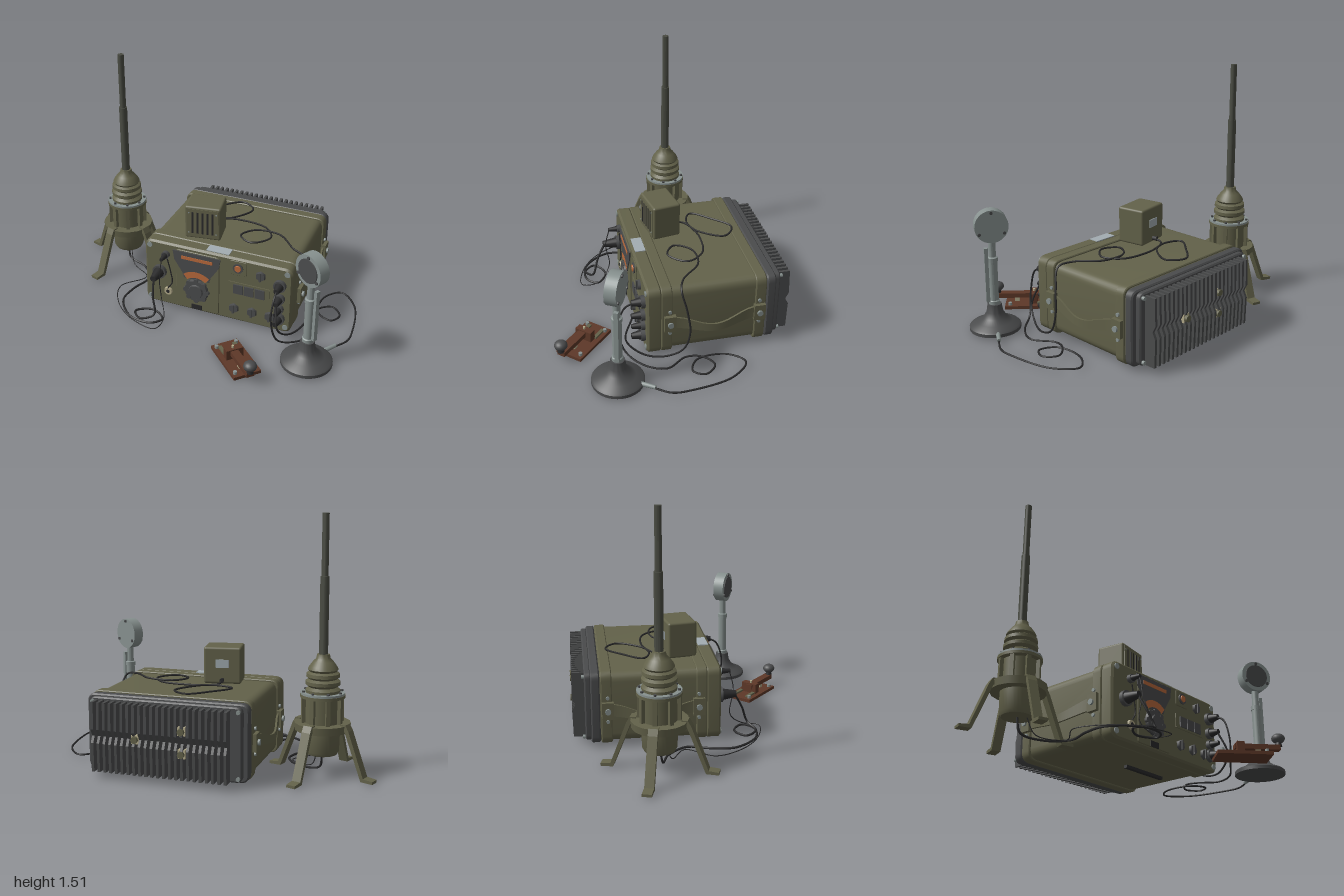
import * as THREE from 'three';
import { toCreasedNormals } from 'three/addons/utils/BufferGeometryUtils.js';
import { RoundedBoxGeometry } from 'three/addons/geometries/RoundedBoxGeometry.js';

const paint = (name, color, side = THREE.FrontSide) => {
  const m = new THREE.MeshStandardMaterial({ color, side });
  m.name = name;
  return m;
};

export function createModel() {
  const olive = paint('olive paint', 0x63624a), mastGreen = paint('mast green', 0x4a4c43);
  const charcoal = paint('charcoal metal', 0x4a4b4c), black = paint('black rubber', 0x2a2a2b);
  const steel = paint('grey steel', 0x87918f), pale = paint('pale label', 0xa3adb2);
  const orange = paint('orange glow', 0xb8693c), brown = paint('brown wood', 0x5e3828);
  const tan = paint('tan fitting', 0xb0a888);

  const model = new THREE.Group();
  const group = (name, x = 0, y = 0, z = 0, ry = 0) => {
    const g = new THREE.Group();
    g.name = name;
    g.position.set(x, y, z);
    g.rotation.y = ry;
    model.add(g);
    return g;
  };
  const add = (g, name, geo, mat, x = 0, y = 0, z = 0) => {
    const m = new THREE.Mesh(geo, mat);
    m.name = name;
    m.position.set(x, y, z);
    g.add(m);
    return m;
  };
  const box = (g, name, mat, w, h, d, x, y, z) => add(g, name, new THREE.BoxGeometry(w, h, d), mat, x, y, z);
  // Cylinder along an axis; top radius faces the positive end
  const cyl = (g, name, mat, rTop, rBottom, h, x, y, z, axis = 'y', sides = 24) => {
    const geo = new THREE.CylinderGeometry(rTop, rBottom, h, sides);
    if (axis === 'z') geo.rotateX(Math.PI / 2);
    if (axis === 'x') geo.rotateZ(-Math.PI / 2);
    return add(g, name, geo, mat, x, y, z);
  };
  const lathe = (g, name, mat, pts, sides = 32) => add(g, name, toCreasedNormals(
    new THREE.LatheGeometry(pts.map(p => new THREE.Vector2(...p)), sides), 0.6), mat);
  const cable = (g, name, r, pts) => {
    const curve = new THREE.CatmullRomCurve3(pts.map(p => new THREE.Vector3(...p)));
    add(g, name, new THREE.TubeGeometry(curve, pts.length * 10, r, 6), black);
  };
  // Slab with rounded or chamfered corners, centred in x and y, running from z0 to z1
  const slab = (g, name, mat, w, h, c, z0, z1, x, y, bevel = 0.008) => {
    const s = new THREE.Shape(), a = w / 2 - bevel, b = h / 2 - bevel;
    s.moveTo(-a + c, -b);
    s.lineTo(a - c, -b); s.quadraticCurveTo(a, -b, a, -b + c);
    s.lineTo(a, b - c); s.quadraticCurveTo(a, b, a - c, b);
    s.lineTo(-a + c, b); s.quadraticCurveTo(-a, b, -a, b - c);
    s.lineTo(-a, -b + c); s.quadraticCurveTo(-a, -b, -a + c, -b);
    const geo = new THREE.ExtrudeGeometry(s, { depth: z1 - z0 - 2 * bevel, bevelEnabled: bevel > 0,
      bevelSize: bevel, bevelThickness: bevel, bevelSegments: 1, curveSegments: 5 });
    return add(g, name, toCreasedNormals(geo, 0.5), mat, x, y, z0 + bevel);
  };

  // Radio case
  const CX = 0.147, CY = 0.25, F = 0.17;
  const radio = group('radio');
  slab(radio, 'caseBody', olive, 0.96, 0.44, 0.05, -0.56, 0.09, CX, CY);
  slab(radio, 'frontBezel', olive, 0.98, 0.46, 0.04, 0.08, F, CX, CY, 0.012);
  for (const z of [0.02, -0.55]) slab(radio, 'caseBand', olive, 0.985, 0.462, 0.05, z, z + 0.065, CX, CY, 0.005);
  slab(radio, 'rearFlange', charcoal, 0.98, 0.45, 0.04, -0.61, -0.555, CX, CY);
  slab(radio, 'heatSinkPlate', charcoal, 0.92, 0.43, 0.03, -0.645, -0.605, CX, CY);
  box(radio, 'bottomSlot', black, 0.34, 0.02, 0.025, 0.31, 0.022, -0.15);
  box(radio, 'topLabel', pale, 0.15, 0.006, 0.065, 0.145, 0.482, 0.122);

  // Heat sink fins with a notched outer edge
  const fin = new THREE.Shape();
  [[0.64, 0.04], [0.715, 0.04], [0.72, 0.21], [0.7, 0.25], [0.72, 0.29], [0.715, 0.45], [0.64, 0.45]]
    .forEach(([z, y], i) => (i ? fin.lineTo(z, y) : fin.moveTo(z, y)));
  const finGeo = new THREE.ExtrudeGeometry(fin, { depth: 0.016, bevelEnabled: false }).rotateY(Math.PI / 2);
  for (let i = 0; i < 23; i++) add(radio, 'heatSinkFin', finGeo, charcoal, -0.245 + i * 0.0363, 0, 0);
  for (const [x, y] of [[0.3, 0.25], [0.02, 0.32], [0.02, 0.19]]) {
    box(radio, 'rearSocket', tan, 0.045, 0.05, 0.07, x, y, -0.675);
    cyl(radio, 'rearSocketCap', olive, 0.02, 0.02, 0.02, x, y, -0.717, 'z', 12);
  }
  for (const sx of [-1, 1]) for (const sy of [-1, 1])
    cyl(radio, 'rearBolt', steel, 0.012, 0.012, 0.02, CX + sx * 0.44, CY + sy * 0.19, -0.65, 'z', 8);

  // Side carrying straps and brackets
  for (const s of [-1, 1]) {
    const strap = new THREE.BoxGeometry(0.012, 0.075, 0.52, 1, 1, 20), p = strap.attributes.position;
    for (let i = 0; i < p.count; i++) {
      const c = Math.cos(p.getZ(i) / 0.26 * Math.PI / 2) ** 2;
      p.setY(i, p.getY(i) * (1 - 0.35 * c) - 0.045 * c);
      p.setX(i, p.getX(i) + s * 0.035 * c);
    }
    strap.computeVertexNormals();
    add(radio, 'carryStrap', toCreasedNormals(strap, 0.6), olive, CX + s * 0.495, 0.242, -0.235);
    for (const z of [0.035, -0.51]) {
      box(radio, 'strapBracket', olive, 0.03, 0.105, 0.07, CX + s * 0.5, 0.242, z);
      cyl(radio, 'strapBolt', steel, 0.018, 0.018, 0.02, CX + s * 0.517, 0.242, z, 'x', 10);
      for (const y of [0.17, 0.32]) cyl(radio, 'bandScrew', steel, 0.011, 0.011, 0.02, CX + s * 0.493, y, z, 'x', 8);
    }
    for (const y of [0.06, 0.445]) cyl(radio, 'frontScrew', steel, 0.018, 0.018, 0.012, CX + s * 0.455, y, F, 'z', 10);
  }

  // Front panel: tuning dial
  const panel = group('frontPanel');
  slab(panel, 'centerPanel', olive, 0.29, 0.42, 0.015, F - 0.01, F + 0.008, 0.02, 0.247, 0.003);
  const dial = new THREE.Shape();
  [[-0.145, 0.45], [-0.135, 0.385], [-0.08, 0.3], [-0.07, 0.265], [0.1, 0.265], [0.11, 0.3], [0.165, 0.385], [0.175, 0.45]]
    .reverse().forEach(([x, y], i) => (i ? dial.lineTo(x, y) : dial.moveTo(x, y)));
  add(panel, 'dialPlate', new THREE.ExtrudeGeometry(dial, { depth: 0.008, bevelEnabled: false }), charcoal, 0, 0, F + 0.006);
  box(panel, 'dialSlot', orange, 0.21, 0.022, 0.005, 0.018, 0.412, F + 0.015);
  add(panel, 'dialArc', new THREE.RingGeometry(0.095, 0.138, 24, 1, Math.PI * 0.28, Math.PI * 0.44), orange, 0.015, 0.185, F + 0.016);
  cyl(panel, 'tuningKnob', charcoal, 0.076, 0.083, 0.02, 0.015, 0.185, F + 0.015, 'z', 16);
  cyl(panel, 'tuningKnobCap', charcoal, 0.045, 0.05, 0.012, 0.015, 0.185, F + 0.028, 'z', 16);
  for (let i = 0; i < 8; i++) {
    const a = i * Math.PI / 4;
    cyl(panel, 'knobGrip', charcoal, 0.016, 0.018, 0.024, 0.015 + 0.072 * Math.cos(a), 0.185 + 0.072 * Math.sin(a), F + 0.014, 'z', 8);
  }
  box(panel, 'smallWindow', black, 0.07, 0.035, 0.008, 0.015, 0.056, F + 0.008);

  // Switches, lamp and sockets
  slab(panel, 'lampPlate', olive, 0.11, 0.1, 0.01, F - 0.005, F + 0.006, 0.29, 0.415, 0.002);
  cyl(panel, 'lampRing', charcoal, 0.033, 0.033, 0.016, 0.29, 0.417, F + 0.006, 'z');
  cyl(panel, 'lamp', orange, 0.02, 0.026, 0.02, 0.29, 0.417, F + 0.01, 'z');
  box(panel, 'switchPlate', olive, 0.27, 0.09, 0.008, 0.362, 0.265, F + 0.002);
  for (let i = 0; i < 3; i++) box(panel, 'pushSwitch', charcoal, 0.062, 0.065, 0.016, 0.293 + i * 0.07, 0.265, F + 0.006);
  for (const [x, y] of [[0.435, 0.395], [0.265, 0.115], [0.385, 0.115], [0.5, 0.115]]) {
    cyl(panel, 'selectorKnob', charcoal, 0.03, 0.034, 0.018, x, y, F + 0.008, 'z', 6);
    box(panel, 'selectorPointer', charcoal, 0.012, 0.06, 0.01, x, y, F + 0.02);
  }
  cyl(panel, 'openSocket', tan, 0.026, 0.03, 0.012, -0.185, 0.125, F + 0.005, 'z', 12);
  cyl(panel, 'openSocketHole', black, 0.012, 0.012, 0.014, -0.185, 0.125, F + 0.006, 'z', 12);
  cable(panel, 'capChain', 0.004, [[-0.185, 0.15, F + 0.01], [-0.155, 0.2, F + 0.008], [-0.165, 0.28, F + 0.008], [-0.185, 0.37, F + 0.01]]);
  const plug = (x, y, r, len) => {
    cyl(panel, 'plugCollar', charcoal, r * 1.15, r * 1.15, 0.025, x, y, F + 0.012, 'z', 16);
    cyl(panel, 'plugBody', black, r * 0.5, r, len, x, y, F + len / 2, 'z', 16);
  };
  plug(-0.24, 0.265, 0.04, 0.11);
  plug(-0.195, 0.4, 0.022, 0.08);
  for (const [y, r] of [[0.36, 0.034], [0.265, 0.03], [0.19, 0.026], [0.12, 0.034]]) plug(0.56, y, r, 0.08);

  // Loudspeaker box on top
  const speaker = group('speaker', -0.02, 0, -0.055, 0.165);
  add(speaker, 'speakerBox', new RoundedBoxGeometry(0.23, 0.225, 0.18, 3, 0.014), olive, 0, 0.588, 0);
  box(speaker, 'speakerFace', olive, 0.2, 0.195, 0.01, 0, 0.588, 0.089);
  for (let i = 0; i < 5; i++) box(speaker, 'speakerSlot', black, 0.012, 0.15, 0.006, -0.064 + i * 0.032, 0.59, 0.093);
  for (const x of [-0.088, 0.088]) for (const y of [0.52, 0.66]) cyl(speaker, 'speakerScrew', steel, 0.005, 0.005, 0.006, x, y, 0.094, 'z', 8);
  box(speaker, 'speakerLabel', pale, 0.08, 0.05, 0.006, 0, 0.6, -0.091);
  cyl(speaker, 'speakerGland', black, 0.012, 0.014, 0.04, 0, 0.5, -0.1, 'z', 10);

  // Antenna with bellows base and four legs
  const antenna = group('antenna', -0.675, 0, -0.238, -0.314);
  lathe(antenna, 'mast', mastGreen, [[0.026, 0.66], [0.026, 1.16], [0.02, 1.16], [0.02, 1.515], [0, 1.515]], 16);
  lathe(antenna, 'bellows', olive, [[0.1, 0.485], [0.1, 0.51], [0.08, 0.525], [0.1, 0.54], [0.1, 0.56], [0.08, 0.572], [0.097, 0.585],
    [0.095, 0.605], [0.078, 0.615], [0.088, 0.628], [0.08, 0.645], [0.06, 0.672], [0.042, 0.69], [0.036, 0.715], [0, 0.715]]);
  lathe(antenna, 'baseHousing', olive, [[0, 0.13], [0.09, 0.13], [0.1, 0.15], [0.104, 0.27], [0.104, 0.46], [0.13, 0.465], [0.13, 0.482], [0, 0.482]]);
  cyl(antenna, 'clampRing', steel, 0.128, 0.128, 0.012, 0, 0.488, 0, 'y', 24);
  cyl(antenna, 'legPlate', olive, 0.165, 0.16, 0.045, 0, 0.295, 0, 'y', 16);
  const leg = new THREE.Shape();
  [[0.13, 0.325], [0.165, 0.325], [0.185, 0.29], [0.283, 0.032], [0.342, 0.026], [0.342, 0.01], [0.268, 0.012], [0.16, 0.285], [0.13, 0.285]]
    .reverse().forEach(([x, y], i) => (i ? leg.lineTo(x, y) : leg.moveTo(x, y)));
  const legGeo = new THREE.ExtrudeGeometry(leg, { depth: 0.055, bevelEnabled: false }).translate(0, 0, -0.0275);
  for (let i = 0; i < 8; i++) {
    const spoke = new THREE.Group();
    spoke.name = 'spoke';
    spoke.rotation.y = i * Math.PI / 4;
    antenna.add(spoke);
    box(spoke, 'housingRib', olive, 0.03, 0.16, 0.024, 0.11, 0.39, 0);
    cyl(spoke, 'ringBolt', charcoal, 0.009, 0.009, 0.016, 0.114, 0.496, 0, 'y', 6);
    if (i % 2 === 0) add(spoke, 'leg', legGeo, olive);
  }

  // Desk microphone
  const mic = group('microphone', 0.805, 0, 0.378, -0.52);
  lathe(mic, 'micBase', charcoal, [[0, 0.012], [0.155, 0.012], [0.155, 0.032], [0.145, 0.042], [0.105, 0.058], [0.07, 0.085], [0.05, 0.12], [0.042, 0.17], [0, 0.172]], 40);
  lathe(mic, 'micStem', steel, [[0.034, 0.165], [0.034, 0.19], [0.028, 0.195], [0.028, 0.44], [0.032, 0.44], [0.032, 0.465], [0.022, 0.47], [0.022, 0.575]], 20);
  box(mic, 'talkBar', steel, 0.022, 0.34, 0.026, 0.038, 0.36, -0.012);
  cyl(mic, 'micHead', steel, 0.1, 0.1, 0.07, 0, 0.665, 0, 'z', 40);
  cyl(mic, 'micGrille', charcoal, 0.074, 0.076, 0.008, 0, 0.665, 0.036, 'z', 32);
  for (let i = 0; i < 3; i++) {
    const a = Math.PI / 2 + i * Math.PI * 2 / 3;
    cyl(mic, 'headScrew', charcoal, 0.01, 0.01, 0.084, 0.085 * Math.cos(a), 0.665 + 0.085 * Math.sin(a), 0, 'z', 8);
  }

  // Telegraph key
  const key = group('telegraphKey', 0.41, 0, 0.515, -0.76);
  box(key, 'keyBoard', brown, 0.325, 0.02, 0.175, 0, 0.01, 0);
  box(key, 'keyLever', brown, 0.27, 0.03, 0.05, 0.085, 0.063, 0.01);
  box(key, 'keyBridge', brown, 0.045, 0.07, 0.11, -0.02, 0.05, 0.005);
  box(key, 'keyContact', tan, 0.03, 0.04, 0.03, 0.09, 0.035, 0.01);
  cyl(key, 'leverScrew', tan, 0.008, 0.008, 0.06, -0.02, 0.07, 0.01, 'y', 8);
  for (const x of [-0.13, 0.13]) for (const z of [-0.065, 0.065]) cyl(key, 'terminal', steel, 0.012, 0.012, 0.022, x, 0.027, z, 'y', 8);
  for (const z of [-0.05, 0.045]) box(key, 'keyStrip', olive, 0.09, 0.012, 0.022, -0.085, 0.025, z);
  cyl(key, 'keyKnobStem', black, 0.015, 0.022, 0.03, 0.214, 0.09, 0.012, 'y', 12);
  add(key, 'keyKnob', new THREE.SphereGeometry(0.04, 20, 12).scale(1, 0.75, 1), charcoal, 0.214, 0.122, 0.012);

  // Cables
  const cables = group('cables');
  cable(cables, 'speakerCable', 0.006, [[-0.035, 0.5, -0.155], [-0.035, 0.49, -0.21], [0.08, 0.486, -0.28], [0.165, 0.486, -0.43], [0.07, 0.486, -0.5],
    [-0.05, 0.486, -0.4], [-0.14, 0.486, -0.28], [-0.05, 0.486, -0.235], [0.135, 0.486, -0.27], [0.32, 0.486, -0.24], [0.39, 0.486, -0.13],
    [0.295, 0.486, -0.03], [0.205, 0.486, -0.09], [0.27, 0.486, -0.185], [0.43, 0.49, -0.185], [0.565, 0.486, -0.06], [0.648, 0.468, -0.03],
    [0.69, 0.35, -0.055], [0.71, 0.2, -0.07], [0.71, 0.09, -0.03], [0.69, 0.04, 0.08], [0.64, 0.04, 0.2], [0.59, 0.12, 0.29], [0.56, 0.265, 0.24]]);
  cable(cables, 'micCable', 0.006, [[0.92, 0.025, 0.2], [0.98, 0.02, 0.1], [0.985, 0.02, 0], [0.93, 0.02, -0.27], [0.815, 0.02, -0.385], [0.725, 0.02, -0.29],
    [0.735, 0.02, -0.11], [0.83, 0.02, -0.06], [0.87, 0.02, -0.13], [0.805, 0.024, -0.2], [0.725, 0.028, -0.14], [0.7, 0.02, -0.05], [0.775, 0.02, 0.08],
    [0.715, 0.02, 0.21], [0.6, 0.05, 0.3], [0.56, 0.2, 0.33], [0.56, 0.33, 0.29], [0.56, 0.36, 0.24]]);
  const micPlug = cyl(cables, 'micPlug', steel, 0.012, 0.014, 0.09, 0.903, 0.03, 0.222, 'z', 10);
  micPlug.rotation.y = 2.55;
  cable(cables, 'antennaCable', 0.007, [[-0.675, 0.14, -0.238], [-0.66, 0.04, -0.22], [-0.525, 0.02, -0.17], [-0.435, 0.02, -0.05], [-0.475, 0.02, 0.1], [-0.48, 0.02, 0.24],
    [-0.355, 0.02, 0.385], [-0.21, 0.02, 0.4], [-0.155, 0.02, 0.335], [-0.25, 0.024, 0.27], [-0.345, 0.03, 0.33], [-0.28, 0.035, 0.4], [-0.2, 0.06, 0.36],
    [-0.225, 0.17, 0.32], [-0.24, 0.265, 0.27]]);
  cable(cables, 'groundWire', 0.003, [[-0.64, 0.14, -0.2], [-0.6, 0.03, -0.16], [-0.46, 0.016, -0.065], [-0.57, 0.016, 0.1], [-0.505, 0.016, 0.265], [-0.345, 0.016, 0.4],
    [-0.16, 0.016, 0.44], [-0.145, 0.03, 0.335], [-0.2, 0.12, 0.25], [-0.2, 0.28, 0.27], [-0.195, 0.4, 0.245]]);
  return model;
}
